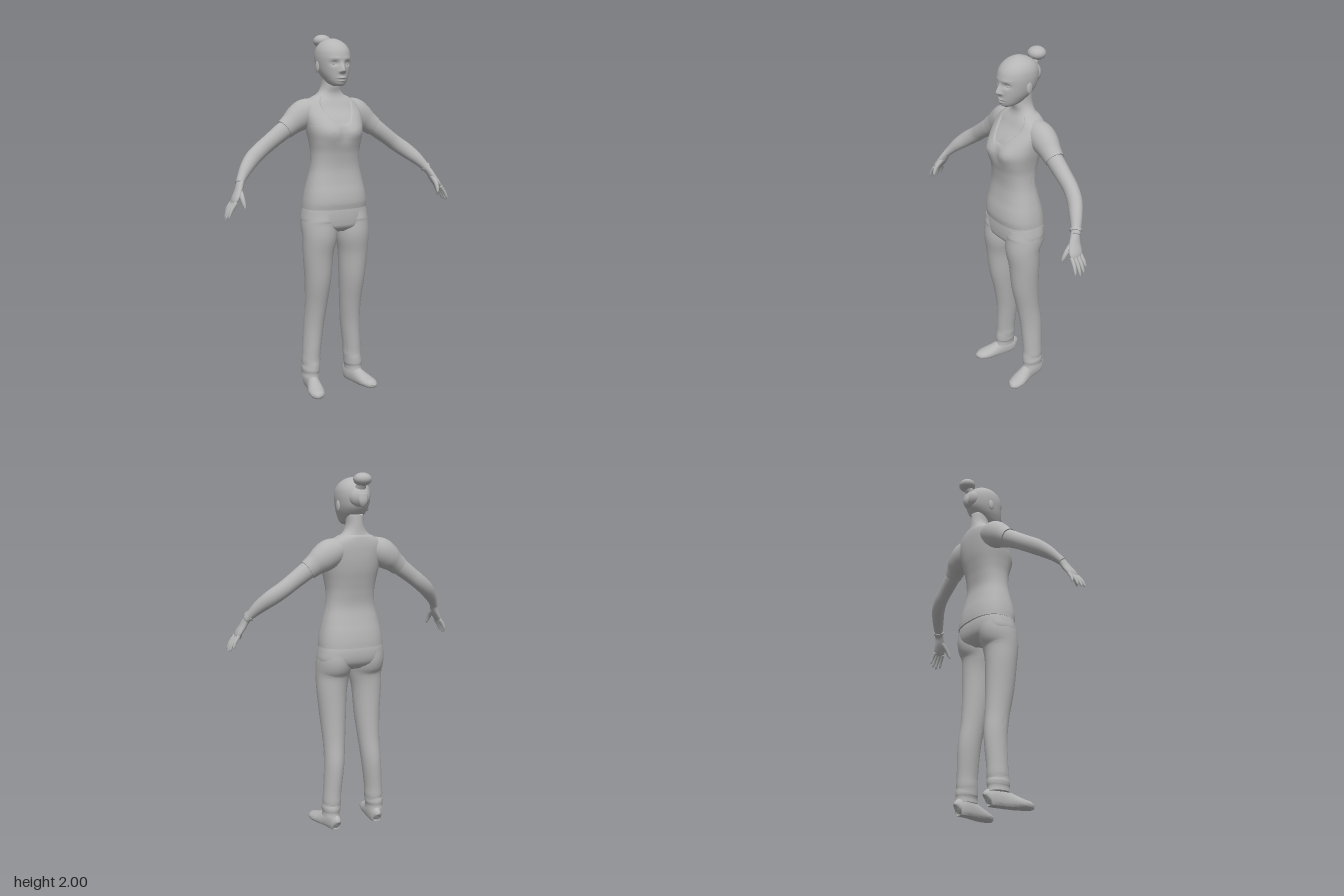
import * as THREE from 'three';
import { toCreasedNormals } from 'three/addons/utils/BufferGeometryUtils.js';

const grey = new THREE.MeshStandardMaterial({ color: 0xb5b5b5, side: THREE.DoubleSide });
grey.name = 'plainGrey';

// Smooth lookup in rows whose first column is the key
function sample(rows, key) {
  const n = rows.length - 1;
  let i = 0;
  while (i < n - 1 && key > rows[i + 1][0]) i++;
  const h = rows[i + 1][0] - rows[i][0];
  const f = THREE.MathUtils.clamp((key - rows[i][0]) / h, 0, 1);
  const slope = (k, c) => {
    const a = rows[Math.max(k - 1, 0)], b = rows[Math.min(k + 1, n)];
    return (b[c] - a[c]) / (b[0] - a[0]);
  };
  return rows[i].map((p, c) => {
    const q = rows[i + 1][c], f2 = f * f, f3 = f2 * f;
    return p * (2 * f3 - 3 * f2 + 1) + q * (3 * f2 - 2 * f3)
      + h * (slope(i, c) * (f3 - 2 * f2 + f) + slope(i + 1, c) * (f3 - f2));
  });
}

// Skin a list of closed rings; collapse the ends to close them
function skinRings(rings, capStart = true, capEnd = true) {
  const middle = r => r.reduce((s, p) => s.add(p), new THREE.Vector3()).divideScalar(r.length);
  const all = [...rings], m = rings[0].length;
  if (capStart) all.unshift(Array(m).fill(middle(rings[0])));
  if (capEnd) all.push(Array(m).fill(middle(rings[rings.length - 1])));
  const pos = [], index = [];
  all.forEach((r, i) => r.forEach((p, j) => {
    pos.push(p.x, p.y, p.z);
    if (i === all.length - 1) return;
    const a = i * m + j, b = i * m + (j + 1) % m;
    if (!(capStart && i === 0)) index.push(a, b, a + m);
    if (!(capEnd && i === all.length - 2)) index.push(b, b + m, a + m);
  }));
  const g = new THREE.BufferGeometry();
  g.setAttribute('position', new THREE.Float32BufferAttribute(pos, 3));
  g.setIndex(index);
  g.computeVertexNormals();
  return g;
}

// Limb through rows of x, y, z, half thickness, half width (along ref)
function limb(points, { ref = [0, 0, 1], steps = 6, sides = 28, minY = -1, round = false } = {}) {
  const rows = points.map((p, i) => [i, ...p]);
  const count = (points.length - 1) * steps, last = points.length - 1;
  const at = t => { const s = sample(rows, t); return new THREE.Vector3(s[1], s[2], s[3]); };
  const rings = [];
  for (let i = 0; i <= count; i++) {
    const t = i / steps, s = sample(rows, t), c = at(t);
    const T = at(Math.min(t + 0.1, last)).sub(at(Math.max(t - 0.1, 0))).normalize();
    const V = new THREE.Vector3(...ref);
    V.addScaledVector(T, -V.dot(T)).normalize();
    const U = V.clone().cross(T);
    const tip = round ? Math.sqrt(Math.max(0.02, 1 - Math.pow(i / count, 10))) : 1;
    rings.push(Array.from({ length: sides }, (_, j) => {
      const a = j / sides * Math.PI * 2;
      const p = c.clone().addScaledVector(U, Math.cos(a) * s[4] * tip).addScaledVector(V, Math.sin(a) * s[5] * tip);
      p.y = Math.max(p.y, minY);
      return p;
    }));
  }
  return skinRings(rings);
}

const bump = (d, e, s, t) => Math.exp(-((d / s) ** 2) - (e / t) ** 2);

// Horizontal ring from rows of y, half width, front z, back z
function ringPoint(rows, y, a, power, grow = 0) {
  const [, w, f, b] = sample(rows, y);
  const round = v => Math.sign(v) * Math.pow(Math.abs(v), 2 / power);
  return new THREE.Vector3(round(Math.cos(a)) * (w + grow), y,
    (f + b) / 2 - round(Math.sin(a)) * ((f - b) / 2 + grow));
}

const torsoRows = [
  [1.055, .186, .138, -.115], [1.09, .184, .143, -.113], [1.14, .176, .138, -.105],
  [1.2, .162, .125, -.09], [1.28, .143, .115, -.075], [1.36, .138, .122, -.083],
  [1.42, .146, .135, -.095], [1.48, .158, .138, -.108], [1.54, .166, .108, -.115],
  [1.6, .17, .06, -.116], [1.635, .15, .04, -.113], [1.66, .11, .026, -.108],
  [1.685, .075, .02, -.103], [1.72, .056, .026, -.1], [1.78, .052, .025, -.095]];

function torsoPoint(y, a, grow) {
  const p = ringPoint(torsoRows, y, a, y > 1.66 ? 2.1 : 2.4, grow);
  if (p.z > 0) p.z += .012 * bump(Math.abs(p.x) - .075, y - 1.475, .045, .05) - .006 * bump(p.x, y - 1.48, .025, .05);
  return p;
}

function ringsBetween(low, high, rows, sides, point) {
  return Array.from({ length: rows + 1 }, (_, i) => Array.from({ length: sides }, (_, j) => {
    const a = j / sides * Math.PI * 2;
    const top = typeof high === 'function' ? high(a) : high;
    return point(low + (top - low) * i / rows, a, i);
  }));
}

// Scooped neckline: low at the front, high at the sides and back
function neckline(a) {
  if (Math.sin(a) > 0) return 1.675;
  return 1.525 + .15 * THREE.MathUtils.smoothstep(Math.abs(Math.cos(a)), .12, .8);
}

const headRows = [
  [1.722, .022, .082, .03], [1.73, .038, .094, .0], [1.745, .052, .101, -.03],
  [1.765, .064, .105, -.06], [1.79, .076, .106, -.088], [1.82, .085, .107, -.11],
  [1.855, .091, .107, -.12], [1.885, .092, .104, -.122], [1.915, .087, .093, -.115],
  [1.942, .072, .07, -.096], [1.962, .048, .038, -.066], [1.973, .022, .012, -.034], [1.976, .006, 0, -.016]];

// Head with nose, eye sockets, brow, lips and chin
function headPoint(y, a) {
  const p = ringPoint(headRows, y, a, 2.1);
  if (p.z > .02) {
    const x = p.x, ax = Math.abs(x);
    p.z += .026 * bump(x, y - 1.805, .013, y > 1.805 ? .03 : .012)
      + .006 * bump(ax - .014, y - 1.8, .008, .009)
      - .011 * bump(ax - .038, y - 1.843, .02, .014)
      + .003 * bump(ax - .035, y - 1.868, .03, .01)
      + .007 * bump(x, y - 1.766, .02, .006) + .006 * bump(x, y - 1.75, .017, .006)
      - .003 * bump(x, y - 1.758, .025, .0025)
      + .004 * bump(x, y - 1.733, .02, .01);
  }
  return p;
}

function ball(x, y, z, rx, ry, rz) {
  return new THREE.SphereGeometry(1, 28, 20).scale(rx, ry, rz).translate(x, y, z);
}

function mirrored(g) {
  const m = (g.index ? g.toNonIndexed() : g.clone()).scale(-1, 1, 1);
  for (const name of ['position', 'normal']) {
    const v = m.attributes[name].array;
    for (let i = 0; i < v.length; i += 9) for (let k = 0; k < 3; k++)
      [v[i + 3 + k], v[i + 6 + k]] = [v[i + 6 + k], v[i + 3 + k]];
    if (name === 'normal') for (let i = 0; i < v.length; i += 3) v[i] = m.attributes.normal.array[i];
  }
  return m;
}

export function createModel() {
  const model = new THREE.Group();
  model.name = 'standingWoman';
  const add = (name, geometry) => {
    const mesh = new THREE.Mesh(geometry, grey);
    mesh.name = name;
    model.add(mesh);
  };
  const pair = (name, geometry) => {
    add(name + 'Left', geometry);
    add(name + 'Right', mirrored(geometry));
  };
  const crisp = g => toCreasedNormals(g, 0.9);

  // Head, hair and neck
  add('head', skinRings(ringsBetween(1.722, 1.976, 90, 120, headPoint).map(r => r.reverse()).reverse()
    .map(r => r.reverse()).reverse()));
  add('neckAndChest', skinRings(ringsBetween(1.45, 1.78, 36, 64, (y, a) => torsoPoint(y, a, -.007))));
  add('hairBack', ball(0, 1.872, -.09, .062, .058, .052));
  add('hairTuft', limb([[0, 1.89, -.13, .03, .012], [0, 1.85, -.137, .026, .012], [0, 1.815, -.13, .012, .007]], { round: true }));
  add('topKnot', ball(0, 1.964, -.13, .05, .035, .048));
  add('knotStem', limb([[0, 1.91, -.1, .03, .025], [0, 1.945, -.122, .026, .022]]));
  pair('ear', ball(.088, 1.825, -.015, .009, .032, .018).rotateY(0));
  pair('eye', ball(.038, 1.842, .078, .014, .008, .012));

  // Shirt with hem and scooped neck
  const shirtRows = 64;
  add('shirt', crisp(skinRings(ringsBetween(1.055, neckline, shirtRows, 80,
    (y, a, i) => torsoPoint(y, a, i === shirtRows ? -.012 : 0)), true, false)));
  pair('sleeve', crisp(limb([
    [.08, 1.6, -.04, .06, .06], [.15, 1.575, -.044, .078, .07], [.2, 1.545, -.044, .074, .066],
    [.24, 1.517, -.04, .061, .056], [.278, 1.49, -.036, .055, .05]])));

  // Arms
  pair('arm', limb([
    [.22, 1.53, -.038, .048, .044], [.29, 1.482, -.034, .049, .044], [.36, 1.433, -.031, .045, .041],
    [.42, 1.39, -.026, .044, .039], [.48, 1.347, -.005, .043, .038], [.53, 1.303, .028, .036, .034],
    [.568, 1.26, .057, .026, .027], [.59, 1.23, .077, .021, .025]]));
  add('wristband', crisp(limb([[.573, 1.253, .062, .029, .031], [.58, 1.244, .068, .029, .031]], { steps: 2 })));

  // Hands
  pair('palm', limb([
    [.58, 1.245, .068, .02, .024], [.592, 1.222, .082, .019, .027], [.607, 1.19, .095, .018, .034],
    [.628, 1.155, .106, .016, .04], [.643, 1.125, .11, .012, .039]], { round: true }));
  const tips = [[.668, 1.075, .07], [.682, 1.058, .094], [.686, 1.052, .119], [.68, 1.062, .146]];
  tips.forEach(([x, y, z], i) => {
    const root = [.634, 1.142, .08 + i * .019];
    const mid = [(root[0] + x) / 2 + .006, (root[1] + y) / 2, (root[2] + z) / 2];
    pair('finger' + (i + 1), limb([[...root, .0105, .0105], [...mid, .0095, .0095], [x, y, z, .0065, .0065]],
      { sides: 14, round: true }));
  });
  pair('thumb', limb([[.598, 1.2, .098, .014, .016], [.601, 1.165, .137, .013, .014],
    [.6, 1.137, .156, .0105, .011], [.596, 1.108, .168, .007, .007]], { sides: 16, round: true }));

  // Trousers
  const hipRows = [[.925, .12, .09, -.045], [.95, .175, .124, -.085], [.98, .195, .132, -.103],
    [1.03, .19, .133, -.108], [1.08, .178, .128, -.1]];
  add('trouserSeat', skinRings(ringsBetween(.925, 1.08, 20, 64, (y, a) => ringPoint(hipRows, y, a, 2.5))));
  pair('trouserLeg', crisp(limb([
    [.098, 1.03, .013, .09, .11], [.1, .97, .018, .098, .114], [.102, .9, .034, .097, .1],
    [.11, .8, .03, .086, .088], [.109, .65, .021, .074, .081], [.111, .5, .001, .062, .069],
    [.119, .37, -.016, .056, .066], [.132, .22, -.017, .051, .06], [.135, .165, -.017, .052, .06],
    [.136, .14, -.014, .05, .061], [.139, .115, -.015, .052, .064], [.14, .095, -.015, .047, .061],
    [.141, .072, -.015, .048, .065]])));

  // Shoes with flat soles
  pair('shoe', crisp(limb([
    [.13, .028, -.084, .012, .022], [.131, .034, -.072, .029, .05], [.134, .034, -.03, .035, .064],
    [.142, .032, .02, .037, .058], [.153, .026, .065, .042, .045], [.165, .021, .11, .046, .032],
    [.174, .017, .15, .038, .025], [.179, .014, .17, .022, .016], [.18, .012, .178, .006, .008]],
    { ref: [0, 1, 0], minY: 0 })));
  return model;
}
